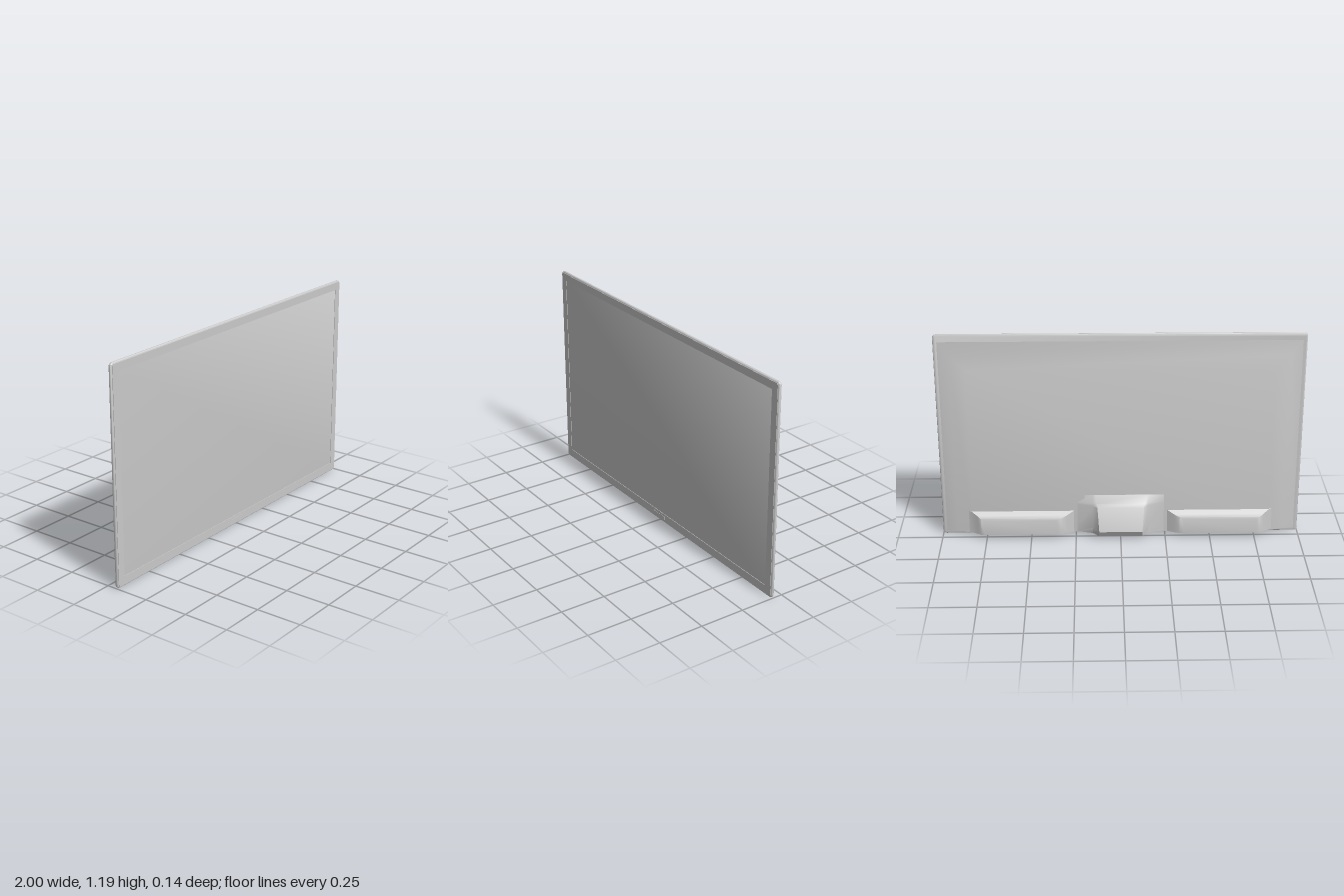
import * as THREE from 'three';
import { toCreasedNormals } from 'three/addons/utils/BufferGeometryUtils.js';

const material = new THREE.MeshStandardMaterial({ color: 0xcccccc });

function addMesh(group, name, geometry) {
  const mesh = new THREE.Mesh(geometry, material);
  mesh.name = name;
  group.add(mesh);
  return mesh;
}

// Skin a list of equal-length closed rings and cap both ends
function loft(rings, crease = 0.9) {
  const n = rings[0].length, index = [];
  const last = (rings.length - 1) * n;
  for (let r = 0; r < rings.length - 1; r++) {
    for (let i = 0; i < n; i++) {
      const j = (i + 1) % n;
      const a = r * n + i, b = r * n + j, c = b + n, d = a + n;
      index.push(a, b, c, a, c, d);
    }
  }
  for (let k = 1; k < n - 1; k++) {
    const p = (1 + k) % n, q = (2 + k) % n;
    index.push(1, q, p, last + 1, last + p, last + q);
  }
  const geometry = new THREE.BufferGeometry();
  geometry.setAttribute('position', new THREE.Float32BufferAttribute(rings.flat(2), 3));
  geometry.setIndex(index);
  return toCreasedNormals(geometry, crease);
}

// Rectangle ring facing the back
const rectRing = (x0, x1, y0, y1, z) => [[x1, y0, z], [x0, y0, z], [x0, y1, z], [x1, y1, z]];

function roundedRect(Type, x0, x1, y0, y1, r) {
  const s = new Type();
  s.absarc(x1 - r, y0 + r, r, -Math.PI / 2, 0);
  s.absarc(x1 - r, y1 - r, r, 0, Math.PI / 2);
  s.absarc(x0 + r, y1 - r, r, Math.PI / 2, Math.PI);
  s.absarc(x0 + r, y0 + r, r, Math.PI, Math.PI * 1.5);
  s.closePath();
  return s;
}

export function createModel() {
  const tv = new THREE.Group();
  tv.name = 'television';

  // Thin panel with rounded rim
  const bevel = 0.008;
  const panel = new THREE.ExtrudeGeometry(
    roundedRect(THREE.Shape, -1 + bevel, 1 - bevel, bevel, 1.19 - bevel, 0.012),
    { depth: 0.003, bevelEnabled: true, bevelSize: bevel, bevelThickness: bevel, bevelSegments: 4, curveSegments: 6 });
  panel.translate(0, 0, 0.047 + bevel);
  addMesh(tv, 'screenPanel', toCreasedNormals(panel, 0.7));

  // Slightly raised bezel around the screen
  const bezelShape = roundedRect(THREE.Shape, -0.992, 0.992, 0.008, 1.182, 0.012);
  const hole = new THREE.Path();
  hole.moveTo(-0.95, 0.055);
  hole.lineTo(-0.95, 1.14);
  hole.lineTo(0.95, 1.14);
  hole.lineTo(0.95, 0.055);
  hole.closePath();
  bezelShape.holes.push(hole);
  const bezel = new THREE.ExtrudeGeometry(bezelShape, { depth: 0.003, bevelEnabled: false, curveSegments: 6 });
  bezel.translate(0, 0, 0.0655);
  addMesh(tv, 'bezel', bezel);

  // Small tab below the screen
  const tab = addMesh(tv, 'sensorTab', new THREE.BoxGeometry(0.1, 0.02, 0.004));
  tab.position.set(0, 0.03, 0.068);

  // Shallow back cover with sloped sides and top
  addMesh(tv, 'backCover', loft([
    rectRing(-0.985, 0.985, 0.018, 1.175, 0.05),
    rectRing(-0.975, 0.975, 0.018, 1.14, 0.046),
    rectRing(-0.915, 0.915, 0.019, 1.07, 0.037),
    rectRing(-0.83, 0.83, 0.022, 1.0, 0.012),
  ]));

  // Speaker bulges, one on each side
  for (const [name, side] of [['leftSpeakerBulge', 1], ['rightSpeakerBulge', -1]]) {
    const ring = (inner, outer, y0, y1, z) =>
      rectRing(Math.min(side * inner, side * outer), Math.max(side * inner, side * outer), y0, y1, z);
    addMesh(tv, name, loft([
      ring(0.25, 0.85, 0.022, 0.16, 0.018),
      ring(0.265, 0.83, 0.023, 0.153, 0.01),
      ring(0.3, 0.8, 0.025, 0.137, -0.01),
      ring(0.33, 0.78, 0.026, 0.125, -0.024),
      ring(0.36, 0.76, 0.027, 0.115, -0.029),
    ]));
  }

  // Central pod with flared wings: [y, wing z, face z, face half-width]
  const podSections = [
    [0.025, -0.012, -0.05, 0.122],
    [0.06, -0.015, -0.069, 0.12],
    [0.195, -0.012, -0.032, 0.13],
    [0.21, -0.01, -0.017, 0.135],
    [0.252, 0.011, 0.011, 0.14],
  ];
  addMesh(tv, 'centrePod', loft(podSections.map(([y, wing, face, w]) => [
    [0.245, y, 0.013], [0.155, y, wing], [w, y, face],
    [-w, y, face], [-0.155, y, wing], [-0.245, y, 0.013],
  ]), 0.7));

  return tv;
}
